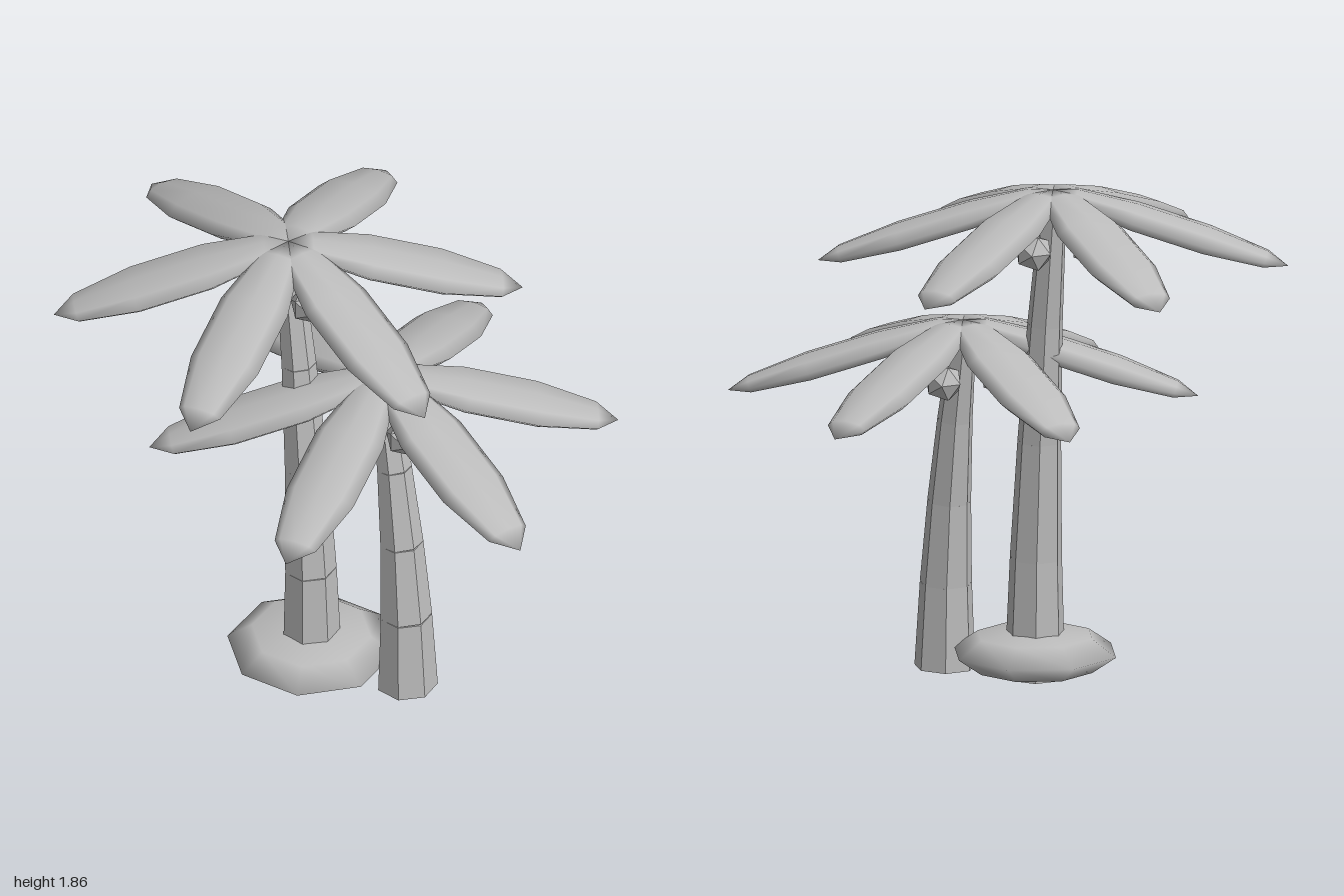
import * as THREE from 'three';

const grey = new THREE.MeshStandardMaterial({ color: 0xbcbcbc });
grey.name = 'grey';

function part(name, geometry) {
  const mesh = new THREE.Mesh(geometry, grey);
  mesh.name = name;
  return mesh;
}

// Flat faces for low-poly parts
function faceted(geometry) {
  const flat = geometry.toNonIndexed();
  flat.computeVertexNormals();
  return flat;
}

// Trunk of four tapering seven-sided sections leaning along a parabola
function makeTrunk(height, lean) {
  const trunk = new THREE.Group();
  trunk.name = 'trunk';
  const sections = 4;
  const radius = (t) => 0.113 - 0.063 * t;
  const point = (t) => new THREE.Vector3(lean * t * t, height * t, 0);
  for (let i = 0; i < sections; i++) {
    const t0 = i / sections, t1 = (i + 1) / sections;
    const a = point(t0), b = point(t1);
    const axis = b.clone().sub(a);
    const section = part('trunkSection', faceted(new THREE.CylinderGeometry(
      radius(t1), radius(t0), axis.length(), 7, 1, false, Math.PI / 2)));
    section.position.copy(a).add(b).multiplyScalar(0.5);
    section.rotation.z = Math.atan2(-axis.x, axis.y);
    trunk.add(section);
  }
  return trunk;
}

// Crown of six drooping leaves with three coconuts beneath
function makeCrown() {
  const crown = new THREE.Group();
  crown.name = 'crown';
  const leafGeo = new THREE.SphereGeometry(1, 8, 5);
  leafGeo.scale(0.05, 0.45, 0.14);
  leafGeo.rotateZ(-Math.PI / 2);
  leafGeo.translate(0.45, 0, 0);
  leafGeo.rotateZ(-0.31);
  for (let i = 0; i < 6; i++) {
    const leaf = part('leaf', leafGeo);
    leaf.position.y = 0.073;
    leaf.rotation.y = i * Math.PI / 3;
    crown.add(leaf);
  }
  const nutGeo = new THREE.IcosahedronGeometry(0.072, 0);
  for (let i = 0; i < 3; i++) {
    const a = i * Math.PI * 2 / 3;
    const nut = part('coconut', nutGeo);
    nut.position.set(0.13 * Math.cos(a), -0.135, 0.13 * Math.sin(a));
    crown.add(nut);
  }
  return crown;
}

function makePalm(name, x, z, height) {
  const palm = new THREE.Group();
  palm.name = name;
  const lean = -0.145;
  const crown = makeCrown();
  crown.position.set(lean, height, 0);
  palm.add(makeTrunk(height, lean), crown);
  palm.position.set(x, 0, z);
  return palm;
}

export function createModel() {
  const model = new THREE.Group();
  model.name = 'palmTrees';
  model.add(makePalm('tallPalm', 0, 0.11, 1.78), makePalm('shortPalm', 0.29, -0.11, 1.255));

  // Flattened mound around the foot of the tall palm
  const mound = part('mound', new THREE.SphereGeometry(1, 8, 4));
  mound.scale.set(0.31, 0.09, 0.31);
  mound.position.set(0, 0.092, 0.11);
  model.add(mound);
  return model;
}
